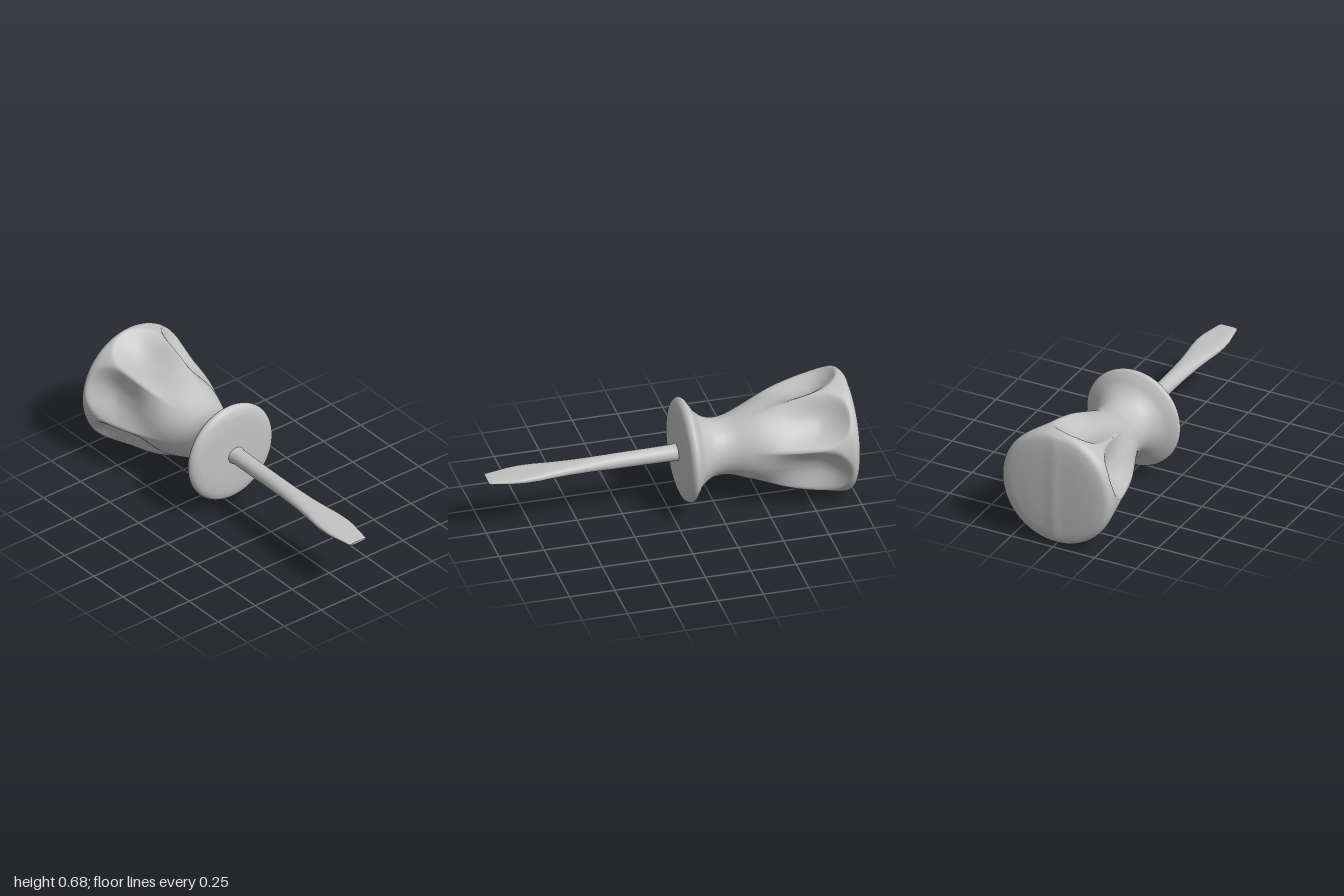
import * as THREE from 'three';

const AXIS_Y = 0.338;

// Closed skin through rings ordered by rising z; point(row, angle) gives [x, y, z]
function loft(rows, segs, point) {
  const pos = [], index = [];
  for (let i = 0; i < rows; i++) {
    for (let j = 0; j < segs; j++) pos.push(...point(i, (j / segs) * Math.PI * 2));
  }
  for (let i = 0; i < rows - 1; i++) {
    for (let j = 0; j < segs; j++) {
      const k = (j + 1) % segs;
      const a = i * segs + j, b = i * segs + k, c = a + segs, d = b + segs;
      index.push(a, b, c, b, d, c);
    }
  }
  const geo = new THREE.BufferGeometry();
  geo.setAttribute('position', new THREE.Float32BufferAttribute(pos, 3));
  geo.setIndex(index);
  geo.computeVertexNormals();
  return geo;
}

// Handle: turned profile with six scooped flutes meeting in ridges
function handleGeometry() {
  const profile = [
    [0, -0.996], [0.1, -0.995], [0.2, -0.991], [0.28, -0.983], [0.315, -0.971],
    [0.333, -0.945], [0.332, -0.9], [0.32, -0.8], [0.3, -0.7], [0.271, -0.6], [0.231, -0.5],
    [0.189, -0.4], [0.164, -0.33], [0.156, -0.27], [0.168, -0.21], [0.21, -0.155],
    [0.258, -0.124], [0.284, -0.104], [0.287, -0.09], [0.274, -0.071], [0.245, -0.058],
    [0.2, -0.052], [0.1, -0.048], [0, -0.046],
  ];
  const curve = new THREE.CatmullRomCurve3(
    profile.map(([r, z]) => new THREE.Vector3(r, z, 0)), false, 'centripetal');
  const pts = curve.getSpacedPoints(200);
  const firstRidge = THREE.MathUtils.degToRad(11), pitch = Math.PI / 3;
  return loft(pts.length, 144, (i, turn) => {
    let r = Math.max(0, pts[i].x), z = pts[i].y;
    // u is 0 in the middle of a flute and 1 on a ridge
    const u = Math.min(1, Math.abs(((turn / pitch) % 1) * 2 - 1));
    // arched upper lip with a crisp edge, fading out towards the neck
    const start = -0.935 + 0.17 * (1 - Math.sqrt(1 - u * u));
    const s = THREE.MathUtils.clamp((z - start) / 0.16, 0, 1);
    const fade = 1 - THREE.MathUtils.smootherstep(z, -0.82, -0.36);
    r -= 0.09 * s * (2 - s) * fade * (1 - u ** 2.3);
    const a = turn + firstRidge;
    // the butt is slightly taller than wide, the guard narrower and off centre
    const butt = 1 - THREE.MathUtils.smoothstep(z, -0.95, -0.5);
    const guard = THREE.MathUtils.smoothstep(z, -0.2, -0.11);
    const x = r * Math.cos(a) * (1 - 0.012 * butt - 0.03 * guard) - 0.007 * guard;
    const y = r * Math.sin(a) * (1 + 0.016 * butt) + 0.003 * butt;
    // faint moulding seam across the butt
    if (z < -0.968) z -= 0.004 * Math.exp(-((x / 0.04) ** 2));
    return [x, AXIS_Y + y, z];
  });
}

// Shaft: round rod flattening into a flared flat blade [z, half width, half height]
function bladeGeometry() {
  const rings = [
    [-0.06, 0.054, 0.05], [-0.04, 0.05, 0.047], [-0.02, 0.046, 0.045], [0.1, 0.045, 0.044],
    [0.3, 0.046, 0.042], [0.42, 0.05, 0.037], [0.55, 0.058, 0.031], [0.65, 0.068, 0.027],
    [0.73, 0.08, 0.023], [0.8, 0.083, 0.02], [0.86, 0.08, 0.017], [0.92, 0.069, 0.013],
    [0.97, 0.06, 0.01], [0.99, 0.057, 0.008], [1, 0.05, 0.006], [1, 0.05, 0.006], [1, 0, 0],
  ];
  return loft(rings.length, 40, (i, a) => {
    const [z, w, h] = rings[i];
    const e = THREE.MathUtils.lerp(1, 0.65, THREE.MathUtils.smoothstep(z, 0.35, 0.85));
    const c = Math.cos(a), s = Math.sin(a);
    return [
      w * Math.sign(c) * Math.abs(c) ** e - 0.001,
      AXIS_Y - 0.004 + h * Math.sign(s) * Math.abs(s) ** e,
      z,
    ];
  });
}

export function createModel() {
  const group = new THREE.Group();
  group.name = 'screwdriver';
  const grey = new THREE.MeshStandardMaterial({ color: 0xc2c2c2 });
  grey.name = 'plain grey';

  const handle = new THREE.Mesh(handleGeometry(), grey);
  handle.name = 'flutedHandle';
  const blade = new THREE.Mesh(bladeGeometry(), grey);
  blade.name = 'shaftAndBlade';
  group.add(handle, blade);
  return group;
}
